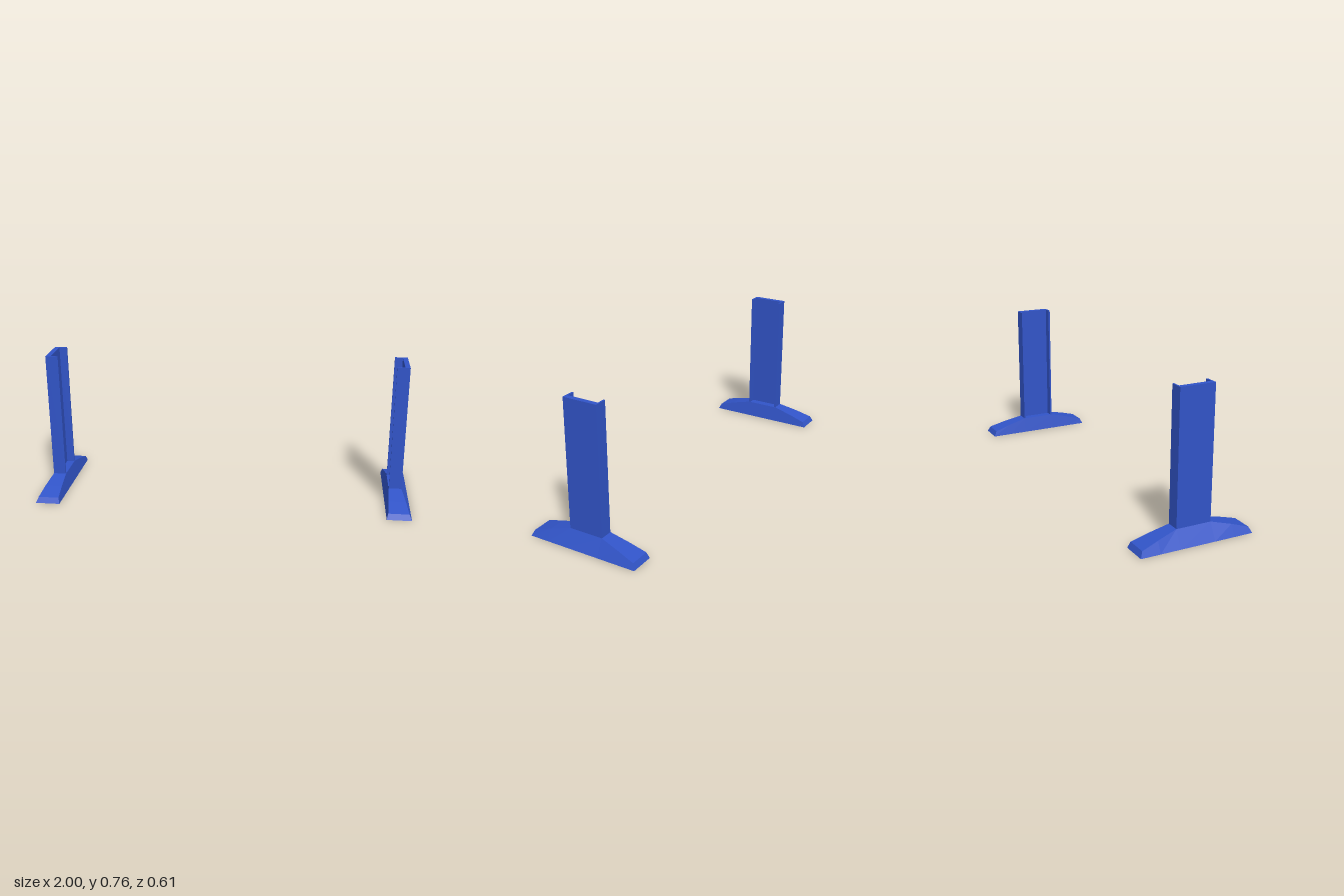
import * as THREE from 'three';

const blue = new THREE.MeshStandardMaterial({ color: 0x3154c8, flatShading: true });
blue.name = 'blue';

// Tapered foot: four-cornered cross-sections running from front to back
function footGeometry() {
  // [z at bottom, z at top, top height, inner x, outer x]
  const half = [
    [0.303, 0.289, 0.03, 0.877, 0.986],
    [0.2, 0.2, 0.057, 0.882, 0.973],
    [0.093, 0.093, 0.084, 0.887, 0.955],
  ];
  const sections = [...half, ...half.map(([b, t, ...r]) => [-b, -t, ...r]).reverse()];
  const rings = sections.map(([zb, zt, y, xi, xo]) => [
    [0.87, 0, zb], [1, 0, zb], [xo, y, zt], [xi, y, zt],
  ]);
  const pos = [];
  const quad = (a, b, c, d) => pos.push(...a, ...b, ...c, ...a, ...c, ...d);
  for (let i = 0; i < rings.length - 1; i++) {
    const f = rings[i], b = rings[i + 1];
    for (let k = 0; k < 4; k++) {
      const n = (k + 1) % 4;
      quad(f[k], b[k], b[n], f[n]);
    }
  }
  const last = rings[rings.length - 1];
  quad(...rings[0]);
  quad(last[1], last[0], last[3], last[2]);
  const g = new THREE.BufferGeometry();
  g.setAttribute('position', new THREE.Float32BufferAttribute(pos, 3));
  g.computeVertexNormals();
  return g;
}

// U-shaped channel post, open towards the middle of the model
function postGeometry() {
  const inner = 0.888, web = 0.929, outer = 0.955, z = 0.093, zi = 0.084;
  const shape = new THREE.Shape([
    [inner, -z], [outer, -z], [outer, z], [inner, z],
    [inner, zi], [web, zi], [web, -zi], [inner, -zi],
  ].map(([x, y]) => new THREE.Vector2(x, y)));
  const g = new THREE.ExtrudeGeometry(shape, { depth: 0.678, bevelEnabled: false });
  return g.rotateX(-Math.PI / 2).translate(0, 0.083, 0);
}

export function createModel() {
  const model = new THREE.Group();
  model.name = 'pairOfUprights';
  const footGeo = footGeometry(), postGeo = postGeometry();
  // The right upright is the left one turned half round
  for (const [side, angle] of [['left', 0], ['right', Math.PI]]) {
    const upright = new THREE.Group();
    upright.name = side + 'Upright';
    const foot = new THREE.Mesh(footGeo, blue);
    foot.name = side + 'Foot';
    const post = new THREE.Mesh(postGeo, blue);
    post.name = side + 'ChannelPost';
    upright.add(foot, post);
    upright.rotation.y = angle;
    model.add(upright);
  }
  return model;
}
